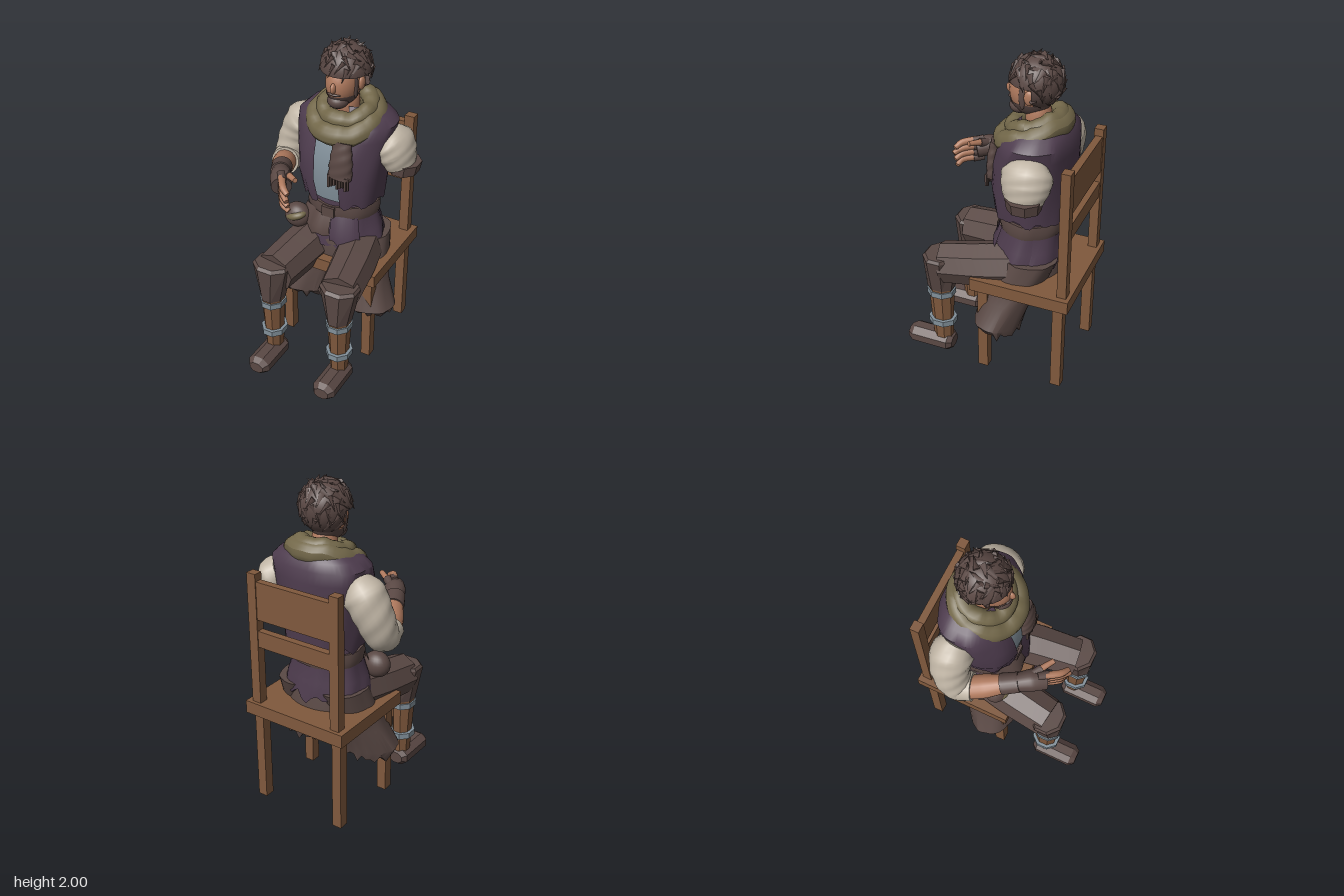
import * as THREE from 'three';
import { toCreasedNormals, mergeVertices } from 'three/addons/utils/BufferGeometryUtils.js';

const mat = (name, color) => Object.assign(new THREE.MeshStandardMaterial({ color }), { name });

// Stacked horizontal rings; each row is [y, cx, cz, rx, rz]
function loft(rows, { seg = 32, start = 0, arc = Math.PI * 2, pow = 1, wob = 0, hem = 0, crease = 0.8 } = {}) {
  const pos = [], idx = [], n = seg + 1, closed = arc > 6.28;
  const sp = (v) => Math.sign(v) * Math.abs(v) ** pow;
  rows.forEach(([y, cx, cz, rx, rz], i) => {
    for (let j = 0; j <= seg; j++) {
      const a = start + arc * (closed ? j % seg : j) / seg;
      const k = 1 + wob * (Math.sin(a * 7 + y * 9) + 0.6 * Math.sin(a * 12 - y * 17));
      const dy = i === 0 ? hem * (Math.sin(a * 9) + Math.sin(a * 14 + 1)) : 0;
      pos.push(cx + rx * k * sp(Math.cos(a)), y + dy, cz + rz * k * sp(Math.sin(a)));
    }
  });
  for (let i = 0; i < rows.length - 1; i++) for (let j = 0; j < seg; j++) {
    const a = i * n + j, b = a + 1, c = a + n, d = c + 1;
    idx.push(a, c, b, b, c, d);
  }
  if (closed) [0, rows.length - 1].forEach((r, top) => {
    const c = pos.length / 3, [y, cx, cz] = rows[r];
    pos.push(cx, y, cz);
    for (let j = 0; j < seg; j++) idx.push(c, r * n + j + top, r * n + j + 1 - top);
  });
  const g = new THREE.BufferGeometry();
  g.setAttribute('position', new THREE.Float32BufferAttribute(pos, 3));
  g.setIndex(idx);
  return toCreasedNormals(g, crease);
}

// Tube of changing radius through points [x, y, z, r]
function limb(pts, { seg = 18, steps = 22, wob = 0, crease = 0.9 } = {}) {
  const curve = new THREE.CatmullRomCurve3(pts.map((p) => new THREE.Vector3(p[0], p[1], p[2])));
  const g = new THREE.TubeGeometry(curve, steps, 1, seg);
  const p = g.attributes.position, v = new THREE.Vector3();
  for (let i = 0; i <= steps; i++) {
    // the first and last two rings close the ends
    const u = Math.min(Math.max(i - 1, 0), steps - 2) / (steps - 2);
    const from = curve.getPointAt(i / steps), to = curve.getPointAt(u);
    const t = curve.getUtoTmapping(u) * (pts.length - 1), k = Math.min(Math.floor(t), pts.length - 2);
    const r = i === 0 || i === steps ? 0 : THREE.MathUtils.lerp(pts[k][3], pts[k + 1][3], t - k);
    for (let j = 0; j <= seg; j++) {
      const q = i * (seg + 1) + j;
      v.fromBufferAttribute(p, q).sub(from);
      v.multiplyScalar(r * (1 + wob * Math.sin(j * Math.PI * 6 / seg + i * 1.1))).add(to);
      p.setXYZ(q, v.x, v.y, v.z);
    }
  }
  g.deleteAttribute('uv'); g.deleteAttribute('normal');
  return toCreasedNormals(mergeVertices(g, 1e-5), crease);
}

export function createModel() {
  const model = new THREE.Group();
  const wood = mat('wood', 0x80593d), skin = mat('skin', 0xb07a5e), hair = mat('hair', 0x5a4844);
  const olive = mat('olive cloth', 0x726749), purple = mat('purple cloth', 0x4e3c4e);
  const cream = mat('cream cloth', 0xbfb4a4), leather = mat('leather', 0x5a4844);
  const blue = mat('blue grey', 0x82909a), trouser = mat('trouser brown', 0x5a4945);
  purple.side = hair.side = leather.side = THREE.DoubleSide;
  const add = (name, geo, material, parent = model) => {
    const m = new THREE.Mesh(geo, material);
    m.name = name;
    parent.add(m);
    return m;
  };
  const box = (name, x0, x1, y0, y1, z0, z1, m) =>
    add(name, new THREE.BoxGeometry(x1 - x0, y1 - y0, z1 - z0), m)
      .position.set((x0 + x1) / 2, (y0 + y1) / 2, (z0 + z1) / 2);
  const ball = (name, x, y, z, rx, ry, rz, m, ...part) => {
    const b = add(name, new THREE.SphereGeometry(1, 24, 16, ...part), m);
    b.position.set(x, y, z); b.scale.set(rx, ry, rz);
    return b;
  };

  // Chair
  box('chairSeat', -0.325, 0.362, 0.585, 0.665, -0.535, 0.075, wood);
  for (const x of [-0.29, 0.268]) {
    box('chairFrontLeg', x, x + 0.06, 0, 0.585, -0.025, 0.038, wood);
    box('chairBackLeg', x, x + 0.06, 0, 0.585, -0.497, -0.434, wood);
    box('chairBackPost', x, x + 0.06, 0.665, 1.475, -0.513, -0.457, wood);
  }
  box('chairTopSlat', -0.24, 0.28, 1.2, 1.43, -0.508, -0.465, wood);
  box('chairLowerSlat', -0.24, 0.28, 1.03, 1.13, -0.508, -0.465, wood);

  // Legs: prism thigh, knee shell, wooden shin with bands, shoe
  for (const [side, x, hip] of [['right', -0.2, -0.11], ['left', 0.257, 0.15]]) {
    const leg = new THREE.Group();
    leg.name = side + 'Leg';
    model.add(leg);
    add('thigh', limb([[hip, 0.715, -0.2, 0.14], [(hip + x) / 2, 0.68, 0.05, 0.138], [x * 0.95, 0.652, 0.3, 0.128]],
      { seg: 8, steps: 16, crease: 0.2 }), trouser, leg);
    const part = (name, rows, m, turn) => {
      const g = loft(rows, { seg: 8, start: Math.PI / 8, crease: 0.1 });
      if (turn) g.rotateX(Math.PI / 2);
      add(name, g, m, leg).position.x = x;
    };
    part('kneeShell', [[0.48, 0, 0.31, 0.074, 0.088], [0.71, 0, 0.305, 0.124, 0.108], [0.728, 0, 0.3, 0.112, 0.095]], trouser);
    part('shin', [[0.1, 0, 0.305, 0.052, 0.062], [0.48, 0, 0.31, 0.072, 0.08]], wood);
    part('upperBand', [[0.428, 0, 0.31, 0.08, 0.09], [0.465, 0, 0.31, 0.08, 0.09]], blue);
    part('lowerBand', [[0.212, 0, 0.307, 0.08, 0.09], [0.25, 0, 0.307, 0.08, 0.09]], blue);
    part('shoe', [[0.235, 0, -0.062, 0.05, 0.04], [0.265, 0, -0.062, 0.076, 0.062],
      [0.5, 0, -0.062, 0.076, 0.062], [0.535, 0, -0.062, 0.05, 0.038]], leather, true);

    // Empty trouser leg hanging below the seat
    const s = Math.sign(x), o = s > 0 ? 0.04 : 0;
    add('hangingTrouserLeg', loft([[0.3, s * 0.2 + o, -0.09, 0.15, 0.11], [0.36, s * 0.205 + o, -0.07, 0.182, 0.145],
      [0.5, s * 0.165 + o, -0.11, 0.15, 0.15], [0.62, s * 0.145 + o, -0.16, 0.14, 0.165],
      [0.78, s * 0.12 + o, -0.225, 0.14, 0.165]], { wob: 0.02, hem: 0.015 }), trouser, leg);
  }

  // Hips, waist, belt and gathered cloth
  add('hips', loft([[0.66, 0.02, -0.19, 0.25, 0.205], [0.78, 0.02, -0.18, 0.24, 0.2], [0.88, 0.02, -0.19, 0.2, 0.17]]), trouser);
  add('tunicSkirt', loft([[0.735, 0.015, -0.19, 0.268, 0.215], [0.84, 0.015, -0.19, 0.248, 0.205],
    [0.95, 0.015, -0.195, 0.205, 0.175], [1.08, 0.015, -0.2, 0.2, 0.18]], { wob: 0.022, hem: 0.018, seg: 48 }), purple);
  add('belt', loft([[0.93, 0.015, -0.195, 0.218, 0.187], [0.97, 0.015, -0.195, 0.225, 0.196],
    [1.015, 0.015, -0.195, 0.218, 0.19]], { wob: 0.014 }), leather);
  box('beltBuckle', -0.03, 0.05, 0.945, 1.01, -0.01, 0.012, leather);
  const gather = (name, y, start, arc, m) => add(name, loft([[y, 0.015, -0.18, 0.265, 0.222],
    [y + 0.05, 0.015, -0.18, 0.26, 0.22], [0.95, 0.015, -0.19, 0.22, 0.19]], { start, arc, wob: 0.025, hem: 0.015 }), m);
  gather('frontGather', 0.82, 1.5, 1.15, leather);
  gather('sideGather', 0.78, 0.75, 0.75, purple);
  add('hangingSash', limb([[0.14, 0.6, 0.05, 0.045], [0.14, 0.5, 0.05, 0.05], [0.17, 0.42, 0.055, 0.025]], { seg: 12, wob: 0.05 }), purple);
  ball('pouch', -0.22, 0.865, -0.03, 0.085, 0.08, 0.07, leather);
  ball('pouchFlap', -0.215, 0.88, -0.005, 0.07, 0.032, 0.055, olive).rotation.z = 0.35;

  // Torso: shirt under an open vest with wide shoulders
  const torso = [[1.04, 0.02, -0.195, 0.235, 0.215], [1.2, 0.01, -0.185, 0.262, 0.228], [1.35, 0.01, -0.205, 0.278, 0.23],
    [1.46, 0.015, -0.22, 0.292, 0.212], [1.535, 0.02, -0.235, 0.298, 0.195], [1.58, 0.02, -0.24, 0.25, 0.165],
    [1.63, 0.02, -0.25, 0.15, 0.12]];
  add('shirt', loft(torso.map(([y, x, z, a, b]) => [y + 0.02, x, z, a - 0.025, b - 0.02]).slice(0, 5), { pow: 0.85 }), blue);
  add('vest', loft(torso, { pow: 0.85, start: Math.PI / 2 + 0.25, arc: Math.PI * 2 - 0.5, wob: 0.01, hem: 0.012, seg: 48 }), purple);

  // Scarf coils, hanging end and fringe
  const coil = (name, R, r, y, z, tilt) => {
    const g = new THREE.TorusGeometry(R, r, 14, 48).rotateX(Math.PI / 2);
    const p = g.attributes.position;
    for (let i = 0; i < p.count; i++) {
      const a = Math.atan2(p.getZ(i), p.getX(i));
      p.setY(i, p.getY(i) + 0.006 * Math.sin(a * 5) + 0.003 * Math.sin(a * 11));
    }
    g.rotateX(tilt);
    g.computeVertexNormals();
    add(name, g, olive).position.set(0.025, y, z);
  };
  coil('scarfLowerCoil', 0.172, 0.066, 1.55, -0.188, 0.38);
  coil('scarfUpperCoil', 0.134, 0.052, 1.602, -0.205, 0.32);
  add('scarfEnd', limb([[0.1, 1.47, 0.0, 0.055], [0.1, 1.36, 0.025, 0.07], [0.095, 1.25, 0.03, 0.075]], { wob: 0.03 }), leather)
    .scale.z = 0.6;
  for (let i = 0; i < 8; i++) {
    const x = 0.03 + i * 0.018;
    box('scarfFringe', x, x + 0.011, 1.185 + (i % 3) * 0.01, 1.27, 0.04, 0.052, leather);
  }

  // Head
  ball('neck', 0.015, 1.62, -0.21, 0.075, 0.13, 0.075, skin);
  ball('face', 0.015, 1.765, -0.165, 0.096, 0.135, 0.125, skin);
  ball('nose', 0.015, 1.765, -0.045, 0.016, 0.032, 0.028, skin);
  ball('beard', 0.015, 1.765, -0.165, 0.101, 0.14, 0.13, hair, 0, Math.PI * 2, 1.95, Math.PI - 1.95);
  ball('chinBeard', 0.015, 1.67, -0.1, 0.062, 0.045, 0.06, hair);
  ball('moustache', 0.015, 1.725, -0.052, 0.04, 0.009, 0.016, hair);
  for (const s of [-1, 1]) {
    ball('ear', 0.015 + s * 0.102, 1.765, -0.19, 0.016, 0.042, 0.03, skin);
    ball('sideburn', 0.015 + s * 0.088, 1.755, -0.145, 0.012, 0.07, 0.02, hair);
  }

  // Hair: crown, back of head and flat swept tufts
  const c = new THREE.Vector3(0.015, 1.835, -0.198), up = new THREE.Vector3(0, 1, 0);
  ball('hairCrown', c.x, c.y, c.z, 0.148, 0.145, 0.152, hair, 0, Math.PI * 2, 0, 1.6);
  ball('hairBack', c.x, c.y, c.z, 0.145, 0.155, 0.152, hair, Math.PI + 0.12, Math.PI - 0.24, 1.4, Math.PI - 1.4);
  const tuft = new THREE.ConeGeometry(0.03, 0.085, 6).scale(1, 1, 0.6);
  for (let i = 0; i < 85; i++) {
    const y = 1 - (i + 0.5) / 48, r = Math.sqrt(Math.max(0, 1 - y * y)), a = i * 2.39996;
    const n = new THREE.Vector3(r * Math.cos(a), y, r * Math.sin(a));
    if (y < -0.7 || (y < 0.05 && n.z > -0.15)) continue;
    const side = new THREE.Vector3(Math.sin(i * 3.7) * 0.6, -0.75, Math.cos(i * 5.3) * 0.6);
    const dir = side.addScaledVector(n, 0.22 - side.dot(n)).normalize();
    const m = add('hairTuft', tuft, hair);
    m.position.copy(n).multiplyScalar(0.142).add(c);
    m.quaternion.setFromUnitVectors(up, dir);
  }

  // Right arm: rolled sleeve, bare forearm, fingerless glove
  add('rightSleeve', limb([[-0.23, 1.45, -0.25, 0.09], [-0.285, 1.4, -0.26, 0.125], [-0.345, 1.28, -0.25, 0.112],
    [-0.37, 1.16, -0.2, 0.096], [-0.35, 1.165, -0.11, 0.085]], { wob: 0.02, steps: 30 }), cream);
  add('rightForearm', limb([[-0.37, 1.15, -0.15, 0.07], [-0.32, 1.19, -0.04, 0.07], [-0.26, 1.235, 0.08, 0.05]]), skin);
  add('gloveCuff', limb([[-0.283, 1.22, 0.035, 0.063], [-0.237, 1.245, 0.125, 0.06]], { steps: 8 }), leather);
  add('glovePalm', limb([[-0.25, 1.24, 0.1, 0.05], [-0.2, 1.25, 0.18, 0.065], [-0.155, 1.24, 0.25, 0.06]]), leather);
  for (let i = 0; i < 4; i++) {
    const y = 1.295 - i * 0.038, far = 0.355 - Math.abs(i - 1) * 0.012;
    add('fingerSleeve', limb([[-0.18, y, 0.21, 0.026], [-0.14, y - 0.005, 0.262, 0.025]], { seg: 10, steps: 8 }), leather);
    add('fingerTip', limb([[-0.155, y, 0.245, 0.022], [-0.1, y - 0.01, 0.32, 0.021], [-0.058, y - 0.03, far, 0.015]],
      { seg: 10, steps: 10 }), skin);
  }
  add('thumbSleeve', limb([[-0.19, 1.275, 0.17, 0.03], [-0.125, 1.298, 0.212, 0.025]], { seg: 10, steps: 8 }), leather);
  add('thumbTip', limb([[-0.14, 1.295, 0.2, 0.021], [-0.06, 1.31, 0.255, 0.015]], { seg: 10, steps: 8 }), skin);

  // Left arm: short sleeve ending in a cuff
  add('leftSleeve', limb([[0.25, 1.44, -0.2, 0.08], [0.293, 1.405, -0.2, 0.115], [0.325, 1.34, -0.2, 0.108],
    [0.352, 1.27, -0.2, 0.085]], { wob: 0.015 }), cream).scale.z = 1.29;
  add('leftCuff', loft([[1.232, 0.365, -0.267, 0.09, 0.098], [1.298, 0.372, -0.267, 0.097, 0.104]],
    { seg: 8, start: Math.PI / 8, crease: 0.1 }), leather);

  return model;
}
